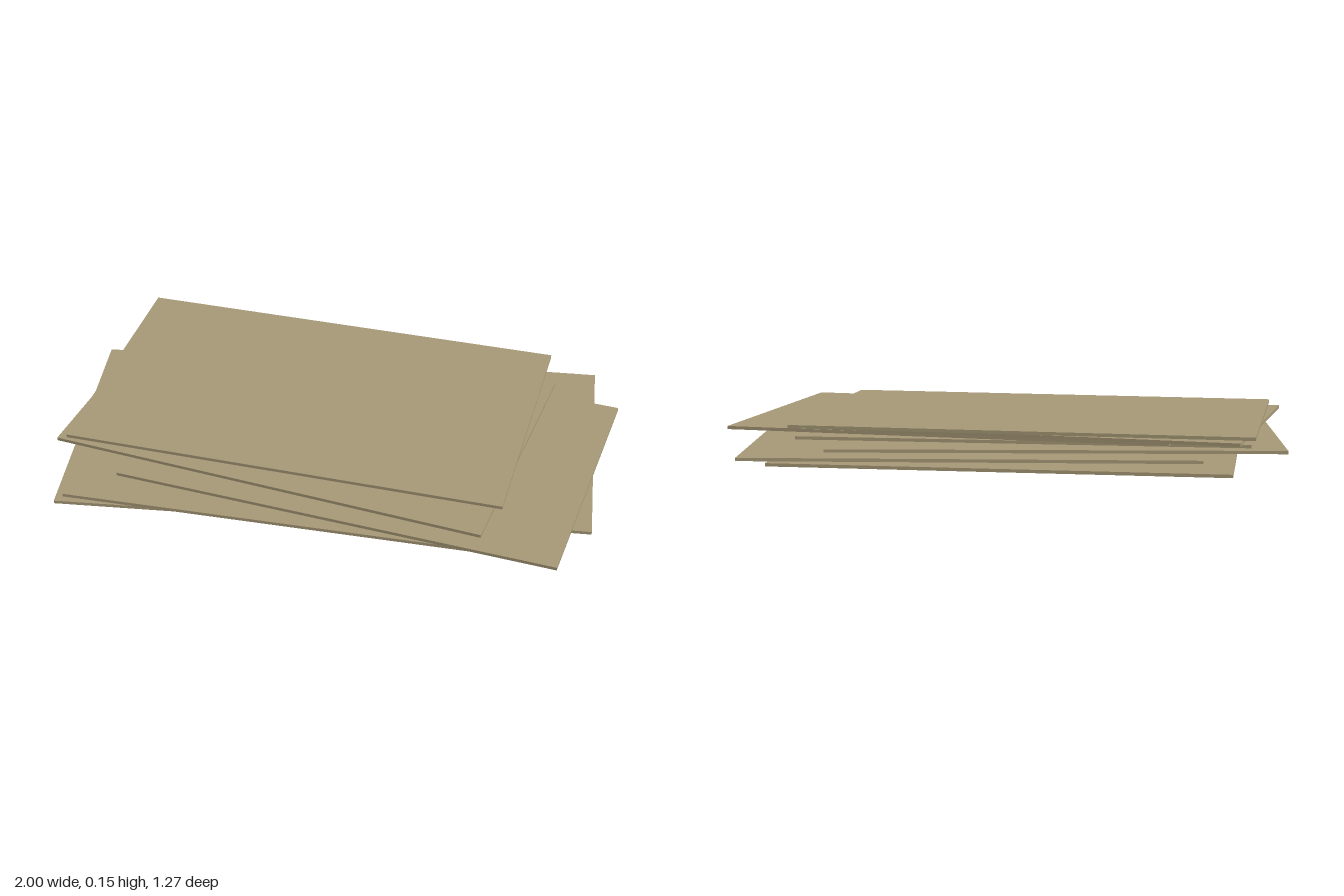
import * as THREE from 'three';

const WIDTH = 1.605, DEPTH = 0.978, BODY = 0.0115, FLAP = 0.0065, STEP = 0.0217;

// Centre x, centre z and turn about y of each envelope, from the bottom up
const STACK = [
  [-0.018, -0.11, 0],
  [0.135, -0.06, 0.108],
  [-0.145, 0.045, 0.123],
  [-0.062, 0.105, 0.021],
  [0.15, 0.07, -0.1],
  [-0.108, -0.033, -0.125],
  [-0.108, -0.107, -0.034],
];

// Triangular flap lying flat, with its base near the +z edge
function flapGeometry() {
  const shape = new THREE.Shape([
    new THREE.Vector2(-0.73, -0.44),
    new THREE.Vector2(0.73, -0.44),
    new THREE.Vector2(0, 0.13),
  ]);
  const geometry = new THREE.ExtrudeGeometry(shape, { depth: FLAP, bevelEnabled: false });
  return geometry.rotateX(-Math.PI / 2);
}

export function createModel() {
  const model = new THREE.Group();
  model.name = 'envelopeStack';
  const paper = new THREE.MeshStandardMaterial({ color: 0xa89a78 });
  paper.name = 'kraft paper';

  const bodyGeo = new THREE.BoxGeometry(WIDTH, BODY, DEPTH).translate(0, FLAP + BODY / 2, 0);
  const flapGeo = flapGeometry();

  STACK.forEach(([x, z, turn], i) => {
    const envelope = new THREE.Group();
    envelope.name = `envelope${i + 1}`;
    const body = new THREE.Mesh(bodyGeo, paper);
    body.name = 'envelopeBody';
    const flap = new THREE.Mesh(flapGeo, paper);
    flap.name = 'envelopeFlap';
    envelope.add(body, flap);
    envelope.position.set(x, i * STEP, z);
    envelope.rotation.y = turn;
    model.add(envelope);
  });
  return model;
}
